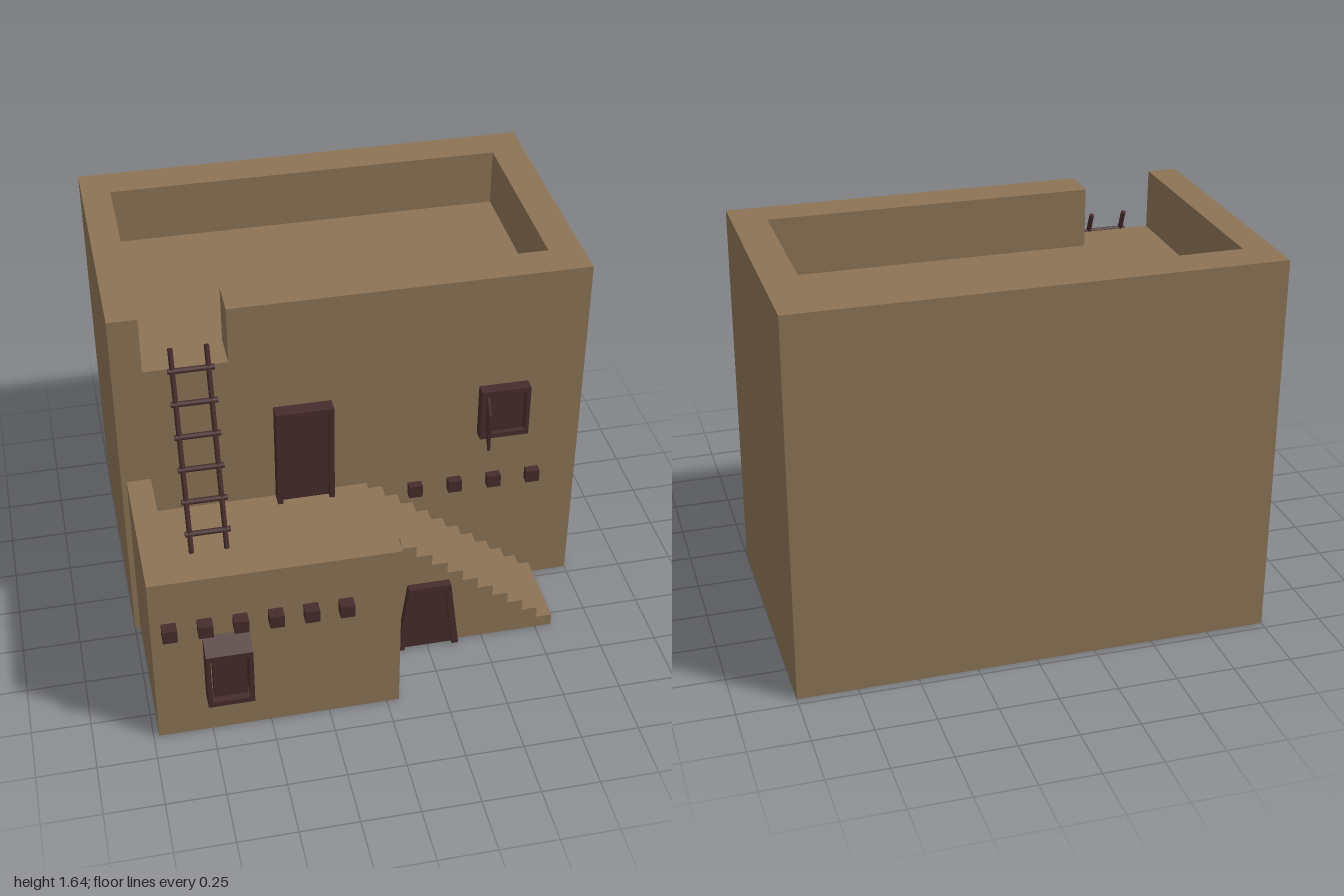
import * as THREE from 'three';

export function createModel() {
  const model = new THREE.Group();
  const clay = new THREE.MeshStandardMaterial({ color: 0x8b7355, side: THREE.DoubleSide });
  clay.name = 'clay';
  const wood = new THREE.MeshStandardMaterial({ color: 0x472c2c });
  wood.name = 'dark wood';

  const add = (name, geometry, material, parent = model) => {
    const mesh = new THREE.Mesh(geometry, material);
    mesh.name = name;
    parent.add(mesh);
    return mesh;
  };
  const group = (name) => {
    const g = new THREE.Group();
    g.name = name;
    model.add(g);
    return g;
  };
  // Box given by its limits on each axis
  const box = (x0, x1, y0, y1, z0, z1) =>
    new THREE.BoxGeometry(x1 - x0, y1 - y0, z1 - z0)
      .translate((x0 + x1) / 2, (y0 + y1) / 2, (z0 + z1) / 2);
  // Box without its underside
  const openBox = (...limits) => {
    const g = box(...limits);
    const index = Array.from(g.index.array);
    index.splice(18, 6);
    g.setIndex(index);
    g.clearGroups();
    return g;
  };
  const outline = (points) => new THREE.Shape(points.map(([x, y]) => new THREE.Vector2(x, y)));
  // Outline in x and y, pushed from z0 to z1, with an optional hole
  const slab = (points, z0, z1, hole) => {
    const s = outline(points);
    if (hole) s.holes.push(outline(hole));
    return new THREE.ExtrudeGeometry(s, { depth: z1 - z0, bevelEnabled: false }).translate(0, 0, z0);
  };
  // Plan in x and z, raised from y0 to y1
  const raised = (points, y0, y1) =>
    new THREE.ExtrudeGeometry(outline(points.map(([x, z]) => [x, -z])), { depth: y1 - y0, bevelEnabled: false })
      .rotateX(-Math.PI / 2).translate(0, y0, 0);
  const rect = (x0, x1, y0, y1) => [[x0, y0], [x1, y0], [x1, y1], [x0, y1]];

  // Main house with a parapet that is open above the ladder
  add('houseBody', openBox(-1, 1, 0, 1.39, -0.965, 0.213), clay);
  add('houseParapet', raised([
    [-1, 0.213], [-0.875, 0.213], [-0.875, -0.8], [0.855, -0.8], [0.855, 0.053],
    [-0.525, 0.053], [-0.525, 0.213], [1, 0.213], [1, -0.965], [-1, -0.965],
  ], 1.39, 1.645), clay);

  // Front terrace, its parapet open towards the stairs
  add('terraceBody', openBox(-0.977, 0.053, 0, 0.66, -0.1, 0.878), clay);
  add('terraceParapet', raised([
    [-0.977, 0.878], [0.053, 0.878], [0.053, 0.78], [-0.875, 0.78], [-0.875, -0.1], [-0.977, -0.1],
  ], 0.66, 0.84), clay);

  // Stairs
  const count = 11, run = 0.77 / count, rise = 0.63 / count;
  const steps = [[-0.23, 0], [0.823, 0]];
  for (let i = 0; i < count; i++) {
    const x = 0.823 - i * run;
    steps.push([x, (i + 1) * rise], [i === count - 1 ? -0.23 : x - run, (i + 1) * rise]);
  }
  add('stairs', slab(steps, 0.2, 0.57), clay);

  // Beam ends
  const beams = group('beams');
  for (let i = 0; i < 6; i++) {
    const x = -0.903 + i * 0.1445;
    add('terraceBeam', box(x - 0.03, x + 0.03, 0.572, 0.632, 0.8, 0.93), wood, beams);
  }
  for (let i = 0; i < 4; i++) {
    const x = 0.268 + i * 0.1765;
    add('houseBeam', box(x - 0.03, x + 0.03, 0.572, 0.632, -0.29, 0.25), wood, beams);
  }

  // Door on the terrace
  const door = group('upperDoor');
  add('doorFrame', slab([
    [-0.347, 0.66], [-0.325, 0.66], [-0.325, 1.107], [-0.122, 1.107],
    [-0.122, 0.66], [-0.1, 0.66], [-0.1, 1.133], [-0.347, 1.133],
  ], 0.2, 0.276), wood, door);
  add('doorPanel', box(-0.325, -0.122, 0.66, 1.107, 0.2, 0.25), wood, door);

  // Tapered door under the stairs
  const low = group('lowerDoor');
  add('doorFrame', slab([
    [0.113, 0.008], [0.143, 0.008], [0.18, 0.332], [0.32, 0.332],
    [0.357, 0.008], [0.387, 0.008], [0.343, 0.36], [0.157, 0.36],
  ], 0.56, 0.605), wood, low);
  add('doorPanel', slab([[0.143, 0.008], [0.357, 0.008], [0.32, 0.332], [0.18, 0.332]], 0.56, 0.588), wood, low);

  // Upper window with one shutter closed and one open
  const win = group('upperWindow');
  add('windowFrame', slab(rect(0.54, 0.755, 0.86, 1.107), 0.2, 0.265, rect(0.562, 0.738, 0.882, 1.083)), wood, win);
  add('closedShutter', box(0.583, 0.732, 0.884, 1.073, 0.2, 0.245), wood, win);
  const shutter = add('openShutter', box(-0.006, 0.006, 0.892, 1.073, 0, 0.15), wood, win);
  shutter.position.set(0.576, 0, 0.24);
  shutter.rotation.y = -0.22;

  // Lower window with a sloping hood
  const bay = group('lowerWindow');
  add('windowFrame', slab(rect(-0.77, -0.577, 0.207, 0.487), 0.87, 0.96, rect(-0.752, -0.595, 0.232, 0.46)), wood, bay);
  add('windowPanel', box(-0.74, -0.602, 0.232, 0.45, 0.87, 0.93), wood, bay);
  add('windowHood', slab([[-0.96, 0.487], [-0.87, 0.487], [-0.87, 0.54]], -0.77, -0.577)
    .rotateY(Math.PI / 2), wood, bay);

  // Ladder leaning on the roof edge
  const ladder = group('ladder');
  const foot = new THREE.Vector3(0, 0.665, 0.515), head = new THREE.Vector3(0, 1.475, 0.192);
  const along = head.clone().sub(foot);
  for (const x of [-0.755, -0.607]) {
    const rail = add('ladderRail', new THREE.CylinderGeometry(0.011, 0.011, along.length(), 8), wood, ladder);
    rail.position.copy(foot).addScaledVector(along, 0.5).setX(x);
    rail.quaternion.setFromUnitVectors(new THREE.Vector3(0, 1, 0), along.clone().normalize());
  }
  for (let i = 0; i < 6; i++) {
    const rung = add('ladderRung', new THREE.CylinderGeometry(0.012, 0.012, 0.192, 8).rotateZ(Math.PI / 2), wood, ladder);
    rung.position.copy(foot).addScaledVector(along, (0.077 + i * 0.129) / along.y).setX(-0.679);
  }
  return model;
}
